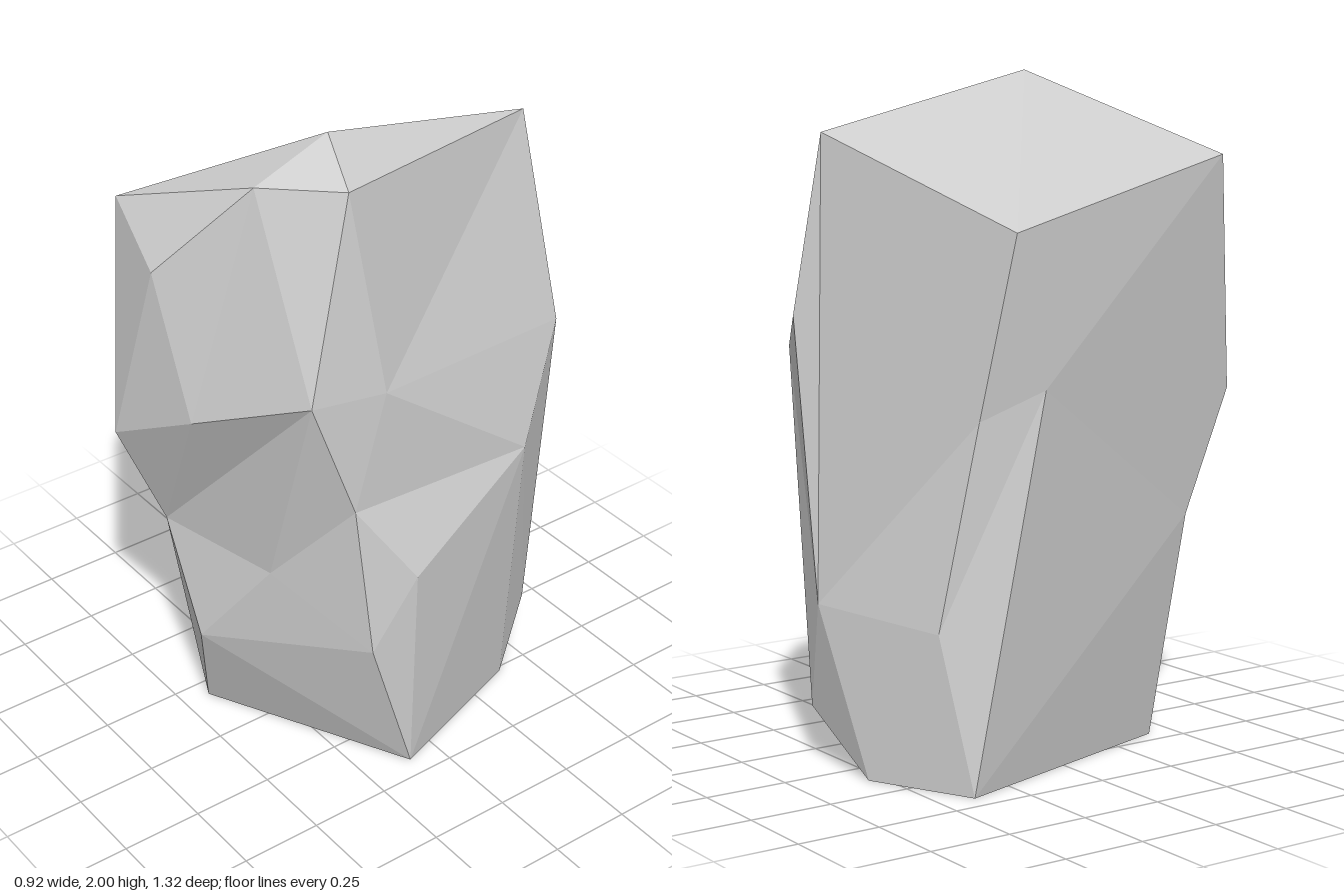
import * as THREE from 'three';

// Corners of the boulder, listed level by level [x, y, z]
const corners = {
  // foot
  P: [-0.19, 0, 0.415], Q: [0.435, 0, 0.1], X: [0.266, 0, -0.39], v: [-0.12, 0, -0.545], T: [-0.435, 0, -0.395],
  // lower bulge
  N: [-0.085, 0.34, 0.5], O: [0.415, 0.46, 0.23], W: [0.165, 0.16, -0.56], Y: [0.05, 0.49, -0.605], c: [-0.318, 0.446, -0.436],
  // waist
  K: [-0.25, 0.68, 0.5], L: [0.13, 0.65, 0.39], M: [0.37, 0.945, 0.26], R: [0.455, 0.7, 0.1], S: [0.353, 0.905, -0.377],
  // shoulders
  H: [-0.245, 1.05, 0.66], I: [0.03, 1.19, 0.577], J: [0.345, 1.325, 0.39], Z: [0.365, 1.3, 0.15],
  V: [0.234, 1.215, -0.583], U: [0.077, 1.32, -0.66], a: [-0.365, 1.04, -0.33], b: [-0.44, 1.125, -0.157],
  // crown
  G: [-0.09, 1.63, 0.61], D: [-0.32, 1.755, 0.57], C: [0.105, 1.905, 0.4], B: [0.285, 1.91, 0.22],
  A: [0.11, 2, 0.16], F: [0.05, 1.83, -0.58], E: [-0.46, 1.565, -0.27],
};

// Each facet group is a fan: a hub corner, then its neighbours counter-clockwise
const fans = [
  'ACBFEDC',                    // sloping top
  'GDHICD', 'JCIKLMZBC',        // upper front
  'KIHbTPNL', 'OLNQRML', 'NPQ', // lower front
  'SZMRQXWVZ', 'ZVFB',          // left flank
  'YUVWvcaEFU', 'FVU', 'WXv', 'vTc', // back
  'bHDEacT',                    // right flank
  'PTvXQ',                      // underside
];

function fanGeometry() {
  const positions = [];
  for (const fan of fans) {
    for (let i = 1; i < fan.length - 1; i++) {
      positions.push(...corners[fan[0]], ...corners[fan[i]], ...corners[fan[i + 1]]);
    }
  }
  const geometry = new THREE.BufferGeometry();
  geometry.setAttribute('position', new THREE.Float32BufferAttribute(positions, 3));
  geometry.computeVertexNormals();
  return geometry;
}

export function createModel() {
  const model = new THREE.Group();
  model.name = 'standingRock';
  const material = new THREE.MeshStandardMaterial({ color: 0xcccccc, flatShading: true });
  const rock = new THREE.Mesh(fanGeometry(), material);
  rock.name = 'rock';
  model.add(rock);
  return model;
}
